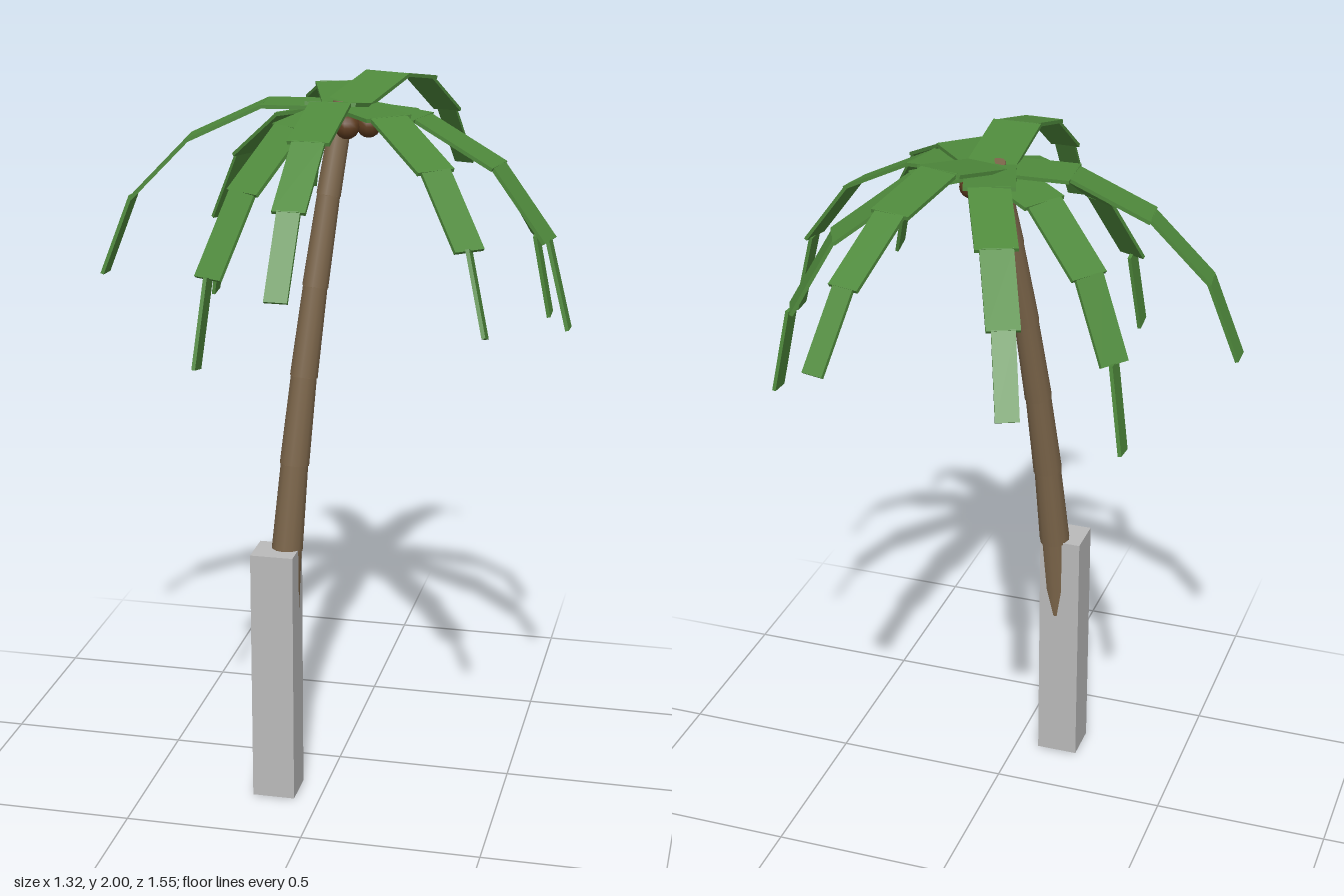
import * as THREE from 'three';

const mat = (name, color) => {
  const m = new THREE.MeshStandardMaterial({ color });
  m.name = name;
  return m;
};
const V = (x, y, z) => new THREE.Vector3(x, y, z);

export function createModel() {
  const leaf = mat('leaf green', 0x4f8a3c);
  const bark = mat('bark brown', 0x7a6449);
  const nut = mat('coconut brown', 0x5e3c20);
  const stone = mat('post grey', 0xbababa);

  const model = new THREE.Group();
  model.name = 'palmTree';
  const add = (parent, name, geometry, material) => {
    const mesh = new THREE.Mesh(geometry, material);
    mesh.name = name;
    parent.add(mesh);
    return mesh;
  };
  const group = (name) => {
    const g = new THREE.Group();
    g.name = name;
    model.add(g);
    return g;
  };

  // Square post around the foot of the trunk
  add(model, 'post', new THREE.BoxGeometry(0.12, 0.735, 0.115), stone).position.set(-0.13, 0.3695, 0.2325);

  // Leaning trunk: eight stacked, tapered rings along a gentle curve
  const trunk = group('trunk');
  const rings = 8, height = 1.95;
  const trunkAt = (t) => V(-0.13 + 0.14 * t ** 1.8, height * t, 0.235 - 0.235 * t ** 2);
  for (let i = 0; i < rings; i++) {
    const a = trunkAt(i / rings), b = trunkAt((i + 1) / rings);
    const r = 0.052 - 0.0026 * i;
    const ring = add(trunk, 'trunkRing', new THREE.CylinderGeometry(r * 0.88, r, a.distanceTo(b), 12), bark);
    ring.position.copy(a).add(b).multiplyScalar(0.5);
    ring.quaternion.setFromUnitVectors(V(0, 1, 0), b.clone().sub(a).normalize());
  }

  // Coconuts clustered under the crown
  const coconuts = group('coconuts');
  for (let i = 0; i < 5; i++) {
    const a = (i / 5) * Math.PI * 2 + 0.3;
    add(coconuts, 'coconut', new THREE.SphereGeometry(0.034, 12, 8), nut)
      .position.set(0.03 + 0.055 * Math.cos(a), 1.895, 0.005 + 0.05 * Math.sin(a));
  }

  // Fronds: joints from the crown outwards, each link a narrower thin plate
  const crown = [0.02, 1.945, 0];
  const fronds = [
    [[0.025, 1.985, 0.23], [0.02, 1.925, 0.455], [0.015, 1.79, 0.645], [0.012, 1.597, 0.77]],
    [[0.085, 1.995, -0.22], [0.133, 1.955, -0.44], [0.182, 1.83, -0.635], [0.215, 1.65, -0.765]],
    [[-0.05, 1.965, -0.22], [-0.14, 1.89, -0.425], [-0.215, 1.756, -0.595], [-0.26, 1.567, -0.697]],
    [[-0.16, 1.90, -0.105], [-0.315, 1.76, -0.213], [-0.407, 1.56, -0.283], [-0.443, 1.325, -0.307]],
    [[-0.205, 1.943, 0.012], [-0.413, 1.845, 0.035], [-0.572, 1.68, 0.055], [-0.655, 1.463, 0.068]],
    [[0.235, 1.925, 0.05], [0.447, 1.815, 0.095], [0.59, 1.63, 0.128], [0.65, 1.40, 0.145]],
    [[0.165, 1.94, 0.16], [0.32, 1.84, 0.325], [0.43, 1.67, 0.45], [0.485, 1.465, 0.515]],
    [[0.21, 1.91, -0.09], [0.40, 1.765, -0.18], [0.51, 1.56, -0.227], [0.553, 1.33, -0.242]],
    [[-0.10, 1.905, 0.165], [-0.19, 1.76, 0.315], [-0.25, 1.56, 0.445], [-0.272, 1.33, 0.493]],
  ];
  const widths = [0.135, 0.11, 0.086, 0.06];
  for (const joints of fronds) {
    const frond = group('frond');
    const pts = [crown, ...joints].map((p) => V(...p));
    widths.forEach((w, i) => {
      const dir = pts[i + 1].clone().sub(pts[i]);
      const length = dir.length();
      dir.normalize();
      // Steep tips turn their flat side sideways
      const up = Math.abs(dir.y) > 0.9 ? V(1, 0, 0) : V(0, 1, 0);
      const side = up.cross(dir).normalize();
      const normal = dir.clone().cross(side);
      const plate = add(frond, 'frondLink', new THREE.BoxGeometry(w, 0.01, length * 1.02), leaf);
      plate.quaternion.setFromRotationMatrix(new THREE.Matrix4().makeBasis(side, normal, dir));
      plate.position.copy(pts[i]).add(pts[i + 1]).multiplyScalar(0.5);
    });
  }
  return model;
}
